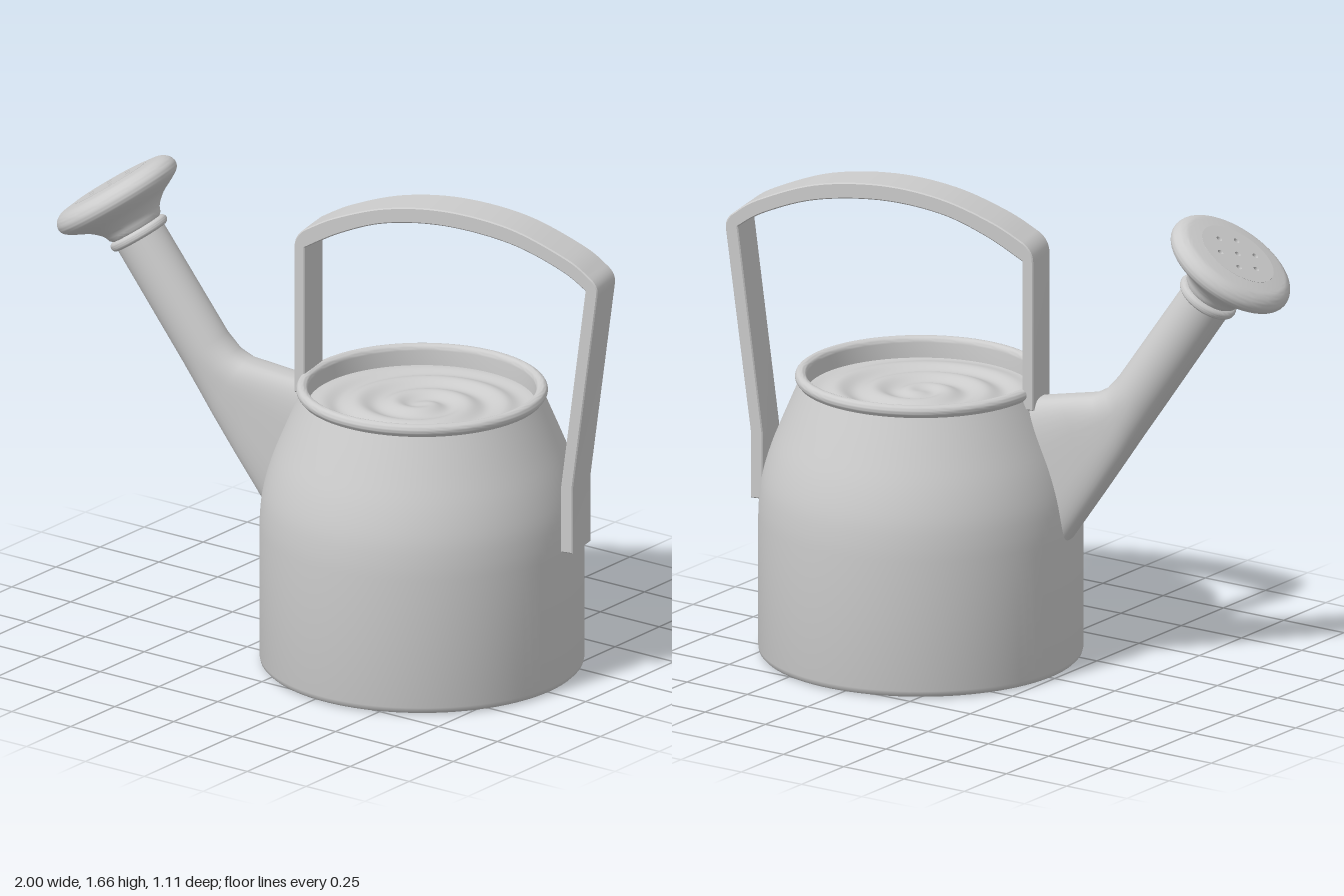
import * as THREE from 'three';
import { toCreasedNormals, mergeVertices } from 'three/addons/utils/BufferGeometryUtils.js';

const grey = new THREE.MeshStandardMaterial({ color: 0xcccccc });
const greyDouble = new THREE.MeshStandardMaterial({ color: 0xcccccc, side: THREE.DoubleSide });
const vecs = (list) => list.map(([x, y]) => new THREE.Vector2(x, y));

function add(parent, name, geometry, material = grey) {
  const mesh = new THREE.Mesh(geometry, material);
  mesh.name = name;
  parent.add(mesh);
  return mesh;
}

const lathe = (points, segments) =>
  toCreasedNormals(new THREE.LatheGeometry(vecs(points), segments), 0.7);

// Smooth shoulder curve from the straight wall up to the rim, then the rolled rim and inner wall
function bodyGeometry() {
  const shoulder = new THREE.SplineCurve(vecs([
    [0.553, 0.45], [0.551, 0.53], [0.54, 0.62], [0.512, 0.72], [0.468, 0.83], [0.415, 0.955],
  ])).getPoints(20).map((p) => [p.x, p.y]);
  const rim = [];
  for (let i = 0; i <= 14; i++) {
    const a = -0.9 + (i / 14) * (Math.PI + 0.9);
    rim.push([0.408 + 0.02 * Math.cos(a), 0.978 + 0.02 * Math.sin(a)]);
  }
  return lathe([
    [0, 0], [0.53, 0], [0.542, 0.004], [0.55, 0.012], [0.553, 0.025],
    ...shoulder, ...rim, [0.388, 0.88],
  ], 96);
}

// Water surface with a gentle spiral swirl
function waterGeometry() {
  let g = new THREE.RingGeometry(0.001, 0.395, 72, 36).rotateX(-Math.PI / 2);
  const p = g.attributes.position;
  for (let i = 0; i < p.count; i++) {
    const r = Math.hypot(p.getX(i), p.getZ(i));
    const a = Math.atan2(p.getZ(i), p.getX(i));
    const fade = Math.min(1, r / 0.06) * Math.min(1, (0.395 - r) / 0.1);
    p.setY(i, 0.925 + 0.009 * fade * Math.sin(r * 48 - a));
  }
  g.deleteAttribute('normal');
  g.deleteAttribute('uv');
  g = mergeVertices(g, 1e-5);
  g.computeVertexNormals();
  return g;
}

// Spout: round at the neck, spreading into a tall rounded wedge at the body
function spoutGeometry() {
  // lower x, lower y, upper x, upper y, half width, roundness exponent
  const stations = [
    [-1.14, 1.34, -0.987, 1.442, 0.088, 2],
    [-0.88, 0.95, -0.735, 1.07, 0.088, 2],
    [-0.82, 0.862, -0.69, 1.018, 0.086, 2.3],
    [-0.77, 0.787, -0.645, 0.993, 0.084, 2.7],
    [-0.68, 0.652, -0.54, 0.975, 0.082, 3.2],
    [-0.53, 0.43, -0.395, 0.95, 0.08, 3.5],
  ];
  const around = 40;
  const positions = [];
  const index = [];
  const power = (v, n) => Math.sign(v) * Math.abs(v) ** (2 / n);
  stations.forEach(([lx, ly, ux, uy, w, n], i) => {
    for (let j = 0; j < around; j++) {
      const t = (j / around) * Math.PI * 2;
      const c = power(Math.cos(t), n) / 2;
      positions.push((lx + ux) / 2 + (ux - lx) * c, (ly + uy) / 2 + (uy - ly) * c, w * power(Math.sin(t), n));
      if (i === stations.length - 1) continue;
      const a = i * around + j;
      const b = i * around + ((j + 1) % around);
      index.push(a, b, a + around, b, b + around, a + around);
    }
  });
  const g = new THREE.BufferGeometry();
  g.setAttribute('position', new THREE.Float32BufferAttribute(positions, 3));
  g.setIndex(index);
  g.computeVertexNormals();
  return g;
}

// Flat strap handle: side outline extruded across its width
function handleGeometry() {
  const s = new THREE.Shape();
  s.moveTo(-0.44, 0.93);
  s.lineTo(-0.44, 1.45);
  s.quadraticCurveTo(-0.44, 1.49, -0.405, 1.515);
  s.splineThru(vecs([[-0.29, 1.575], [-0.1, 1.637], [0.12, 1.66], [0.36, 1.633], [0.57, 1.555], [0.655, 1.5]]));
  s.quadraticCurveTo(0.69, 1.475, 0.684, 1.44);
  s.lineTo(0.592, 0.73);
  s.lineTo(0.592, 0.5);
  s.lineTo(0.556, 0.5);
  s.lineTo(0.556, 0.73);
  s.lineTo(0.648, 1.455);
  s.splineThru(vecs([[0.55, 1.517], [0.36, 1.585], [0.12, 1.612], [-0.1, 1.59], [-0.27, 1.53], [-0.408, 1.455]]));
  s.lineTo(-0.408, 0.93);
  s.closePath();
  const g = new THREE.ExtrudeGeometry(s, {
    depth: 0.142, curveSegments: 6, bevelEnabled: true, bevelSize: 0.004, bevelThickness: 0.004, bevelSegments: 1,
  });
  return toCreasedNormals(g.translate(0, 0, -0.071), 0.5);
}

// Sprinkler rose: neck ring, flared cup and a face plate with seven holes
function makeRose() {
  const rose = new THREE.Group();
  rose.name = 'rose';
  const ring = [];
  for (let i = 0; i <= 8; i++) {
    const a = -Math.PI / 2 + (i / 8) * Math.PI;
    ring.push([0.092 + 0.017 * Math.cos(a), 0.017 * Math.sin(a)]);
  }
  const flare = new THREE.SplineCurve(vecs([
    [0.1, 0.025], [0.112, 0.05], [0.145, 0.08], [0.19, 0.104], [0.222, 0.125], [0.231, 0.148],
    [0.222, 0.172], [0.2, 0.188], [0.175, 0.193], [0.14, 0.197],
  ])).getPoints(36).map((p) => [p.x, p.y]);
  add(rose, 'roseCup', lathe([[0.08, -0.017], ...ring, ...flare], 56));

  const face = new THREE.Shape().absarc(0, 0, 0.142, 0, Math.PI * 2);
  for (let i = 0; i < 7; i++) {
    const a = (i * Math.PI) / 3;
    const r = i === 6 ? 0 : 0.082;
    face.holes.push(new THREE.Path().absarc(r * Math.cos(a), r * Math.sin(a), 0.011, 0, Math.PI * 2, true));
  }
  const plate = new THREE.ExtrudeGeometry(face, { depth: 0.02, bevelEnabled: false, curveSegments: 20 });
  add(rose, 'roseFace', plate.rotateX(-Math.PI / 2).translate(0, 0.1775, 0));
  const back = add(rose, 'roseBacking', new THREE.CircleGeometry(0.142, 32).rotateX(-Math.PI / 2));
  back.position.y = 0.176;

  rose.position.set(-1.058, 1.385, 0);
  rose.rotation.z = 0.588;
  return rose;
}

export function createModel() {
  const model = new THREE.Group();
  model.name = 'wateringCan';
  // Everything is built around the can's axis, then turned slightly
  const can = new THREE.Group();
  can.name = 'can';
  can.position.x = 0.305;
  can.rotation.y = 0.215;
  model.add(can);

  add(can, 'body', bodyGeometry(), greyDouble);
  add(can, 'water', waterGeometry());
  add(can, 'spout', spoutGeometry(), greyDouble);
  add(can, 'handle', handleGeometry());
  can.add(makeRose());
  return model;
}
